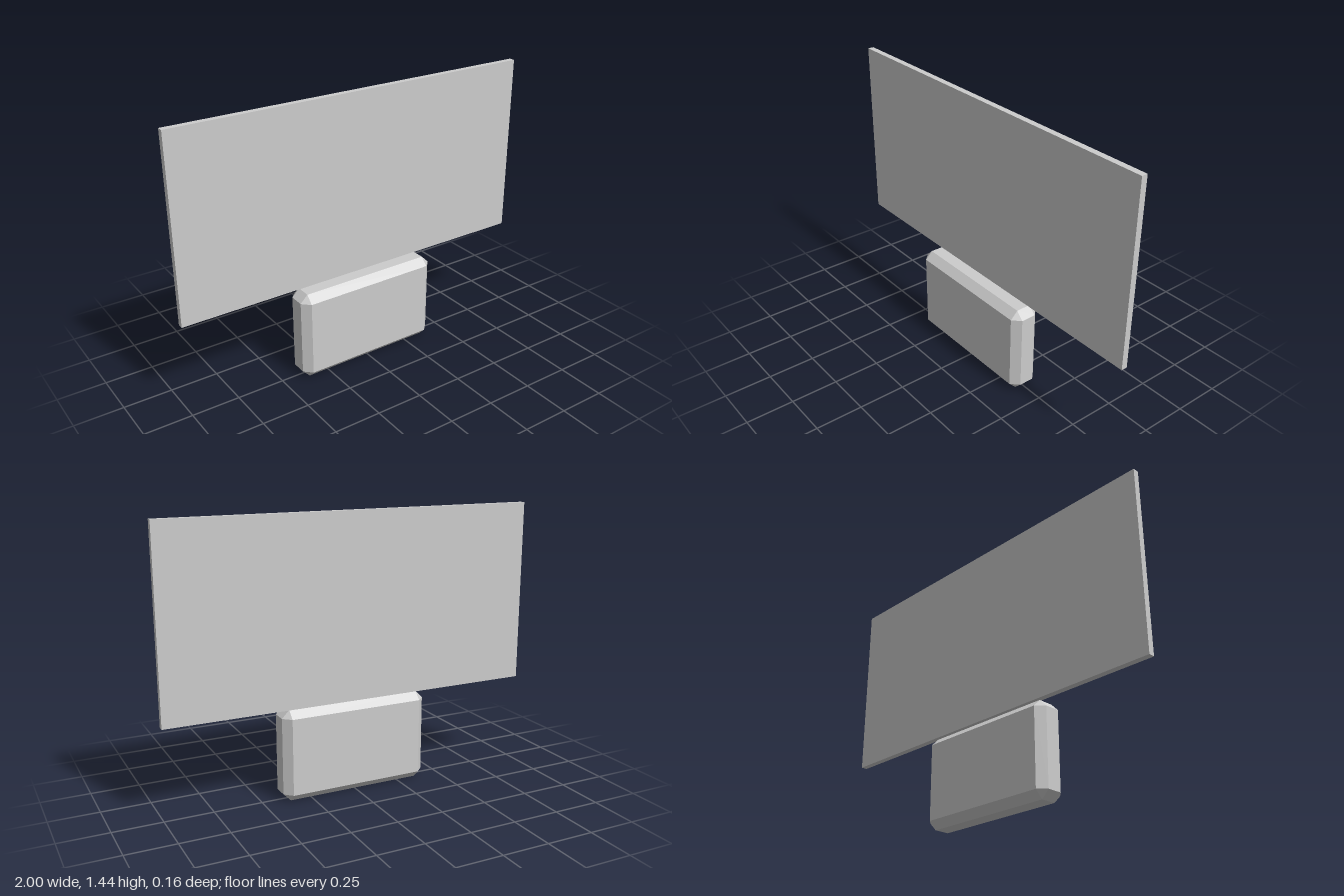
import * as THREE from 'three';
import { ConvexGeometry } from 'three/addons/geometries/ConvexGeometry.js';

// Box with every edge cut at 45 degrees and triangular corners
function chamferedBox(width, height, depth, cut) {
  const half = [width / 2, height / 2, depth / 2];
  const points = [];
  for (const sx of [-1, 1]) for (const sy of [-1, 1]) for (const sz of [-1, 1]) {
    const signs = [sx, sy, sz];
    // one point per face meeting at this corner
    for (let face = 0; face < 3; face++) {
      const p = half.map((h, axis) => signs[axis] * (axis === face ? h : h - cut));
      points.push(new THREE.Vector3(...p));
    }
  }
  return new ConvexGeometry(points);
}

export function createModel() {
  const group = new THREE.Group();
  group.name = 'panelOnBase';

  const lightGrey = new THREE.MeshStandardMaterial({ color: 0xcccccc });
  lightGrey.name = 'lightGrey';

  // Chamfered block the panel stands on
  const base = new THREE.Mesh(chamferedBox(0.8, 0.48, 0.16, 0.04), lightGrey);
  base.name = 'base';
  base.position.y = 0.24;

  // Thin wide panel, set towards the back of the base
  const panel = new THREE.Mesh(new THREE.BoxGeometry(2, 0.96, 0.032), lightGrey);
  panel.name = 'panel';
  panel.position.set(0, 0.963, -0.04);

  group.add(base, panel);
  return group;
}
